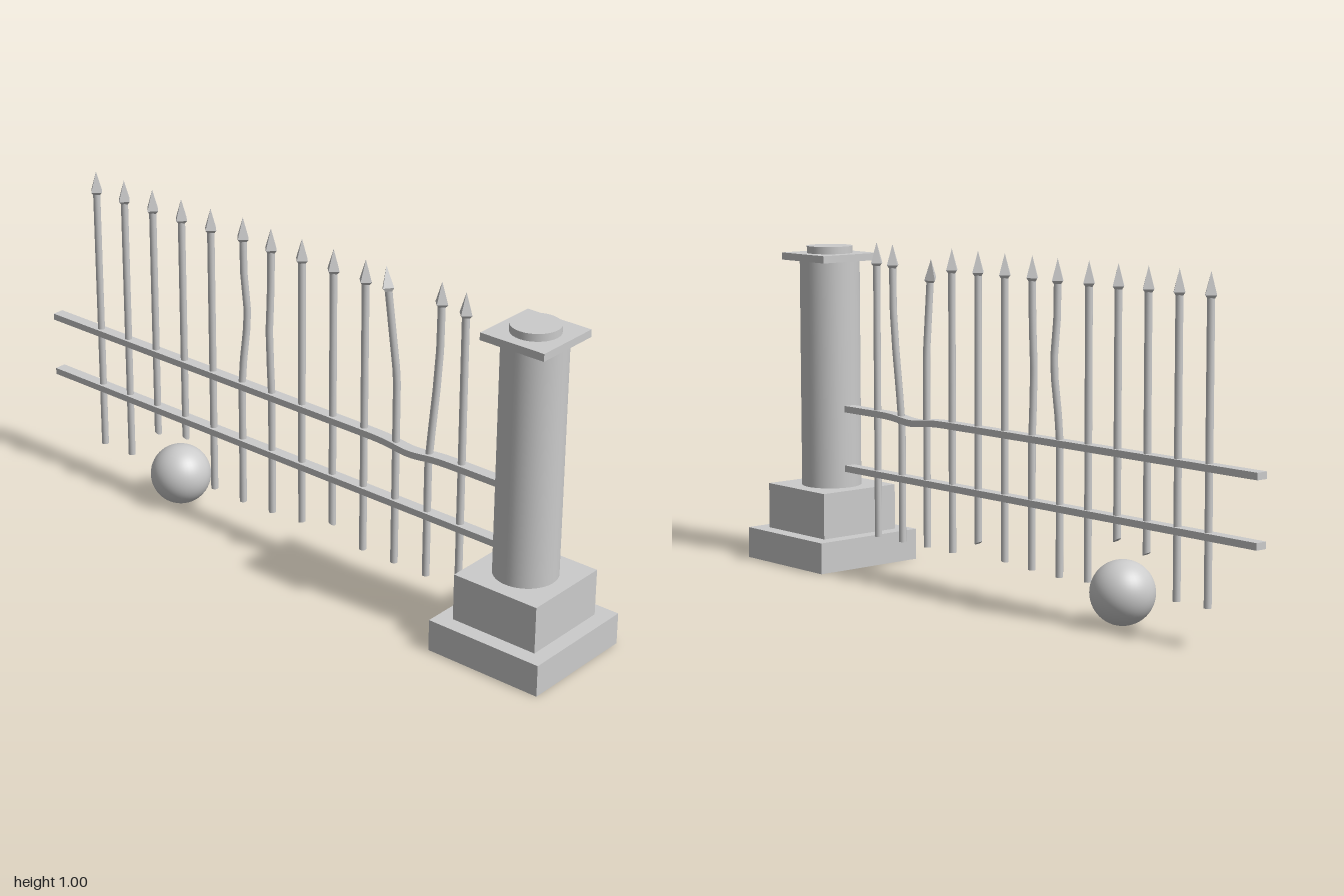
import * as THREE from 'three';

const material = new THREE.MeshStandardMaterial({ color: 0xcccccc });
const flat = new THREE.MeshStandardMaterial({ color: 0xcccccc, flatShading: true });

function add(parent, name, geometry, x, y, z, mat = material) {
  const mesh = new THREE.Mesh(geometry, mat);
  mesh.name = name;
  mesh.position.set(x, y, z);
  parent.add(mesh);
  return mesh;
}

// Offset [x, z] at height y, from rows of [y, x, z]
function bendAt(rows, y) {
  if (y <= rows[0][0]) return [rows[0][1], rows[0][2]];
  for (let i = 1; i < rows.length; i++) {
    const a = rows[i - 1], b = rows[i];
    if (y <= b[0]) {
      const t = (y - a[0]) / (b[0] - a[0]);
      return [a[1] + (b[1] - a[1]) * t, a[2] + (b[2] - a[2]) * t];
    }
  }
  const last = rows[rows.length - 1];
  return [last[1], last[2]];
}

// Round upright, bent along its height, with an optional slanted broken foot
function barGeometry(bottom, top, bend, slant) {
  const geo = new THREE.CylinderGeometry(0.011, 0.011, top - bottom, 12, 40);
  geo.translate(0, (top + bottom) / 2, 0);
  const p = geo.attributes.position;
  for (let i = 0; i < p.count; i++) {
    const y = p.getY(i), z = p.getZ(i);
    const [dx, dz] = bendAt(bend, y);
    const lift = y < bottom + 1e-4 ? slant * z : 0;
    p.setXYZ(i, p.getX(i) + dx, y + lift, z + dz);
  }
  return geo;
}

// Rail along z; the dent sinks its middle
function railGeometry(dent) {
  const geo = new THREE.BoxGeometry(0.036, 0.02, 1.74, 1, 1, 87);
  const p = geo.attributes.position;
  for (let i = 0; i < p.count; i++) {
    const z = p.getZ(i) - 0.13;
    p.setY(i, p.getY(i) - dent * Math.exp(-(((z - 0.41) / 0.07) ** 2)));
  }
  return geo;
}

export function createModel() {
  const model = new THREE.Group();
  model.name = 'brokenFence';

  // Stone column
  const column = new THREE.Group();
  column.name = 'column';
  column.position.z = 0.815;
  model.add(column);
  add(column, 'plinth', new THREE.BoxGeometry(0.372, 0.095, 0.37), 0, 0.0475, 0);
  add(column, 'pedestal', new THREE.BoxGeometry(0.278, 0.14, 0.278), 0, 0.165, 0);
  add(column, 'shaft', new THREE.CylinderGeometry(0.092, 0.092, 0.7, 48), 0, 0.585, 0);
  add(column, 'capSlab', new THREE.BoxGeometry(0.208, 0.022, 0.208), 0, 0.944, 0);
  add(column, 'capDisc', new THREE.CylinderGeometry(0.07, 0.07, 0.022, 48), 0, 0.966, 0);

  // Rails
  add(model, 'upperRail', railGeometry(0.011), 0, 0.48, -0.13);
  add(model, 'lowerRail', railGeometry(0), 0, 0.295, -0.13);

  // Uprights: damaged ones get bends, broken feet or a leaning spike
  const special = {
    1: { bend: [[0.45, 0, 0], [0.55, 0.003, 0.007], [0.68, 0.009, 0.016], [0.8, 0.014, 0.021], [0.93, 0.015, 0.022]] },
    2: { bend: [[0.66, 0, 0], [0.7, 0.004, -0.006], [0.91, 0.046, -0.073]], top: 0.91, tilt: [-0.3, -0.2] },
    4: { bottom: 0.145, slant: -0.5 },
    5: { bottom: 0.108, slant: 0.2 },
    6: { bend: [[0.48, 0, 0], [0.56, 0.001, -0.005], [0.68, 0.003, -0.011], [0.76, 0.002, -0.006], [0.84, 0, -0.001], [0.93, 0, 0]] },
    7: { bottom: 0.096, bend: [[0.48, 0, 0], [0.56, 0.003, 0.004], [0.66, 0.007, 0.014], [0.72, 0.009, 0.015], [0.83, 0.01, 0.002], [0.93, 0.01, 0]] },
    9: { bottom: 0.235, slant: -0.6 },
    10: { bottom: 0.213, slant: -0.5 },
  };
  for (let i = 0; i < 13; i++) {
    const { bend = [[0, 0, 0]], bottom = 0.1, top = 0.935, slant = 0, tilt = [0, 0] } = special[i] || {};
    const upright = new THREE.Group();
    upright.name = 'upright' + (i + 1);
    upright.position.z = 0.585 - i * 0.1162;
    model.add(upright);
    add(upright, 'bar', barGeometry(bottom, top, bend, slant), 0, 0, 0);

    // Four-sided spearhead with a short collar
    const [x, z] = bendAt(bend, top);
    const spear = new THREE.Group();
    spear.name = 'spearhead';
    spear.position.set(x, top, z);
    spear.rotation.set(tilt[0], 0, tilt[1]);
    upright.add(spear);
    add(spear, 'point', new THREE.ConeGeometry(0.022, 0.063, 4), 0, 0.0335, 0, flat);
    add(spear, 'collar', new THREE.CylinderGeometry(0.022, 0.014, 0.009, 4), 0, -0.0025, 0, flat);
  }

  // Fallen stone ball
  add(model, 'ball', new THREE.SphereGeometry(0.092, 40, 28), 0.01, 0.095, -0.495);

  return model;
}
